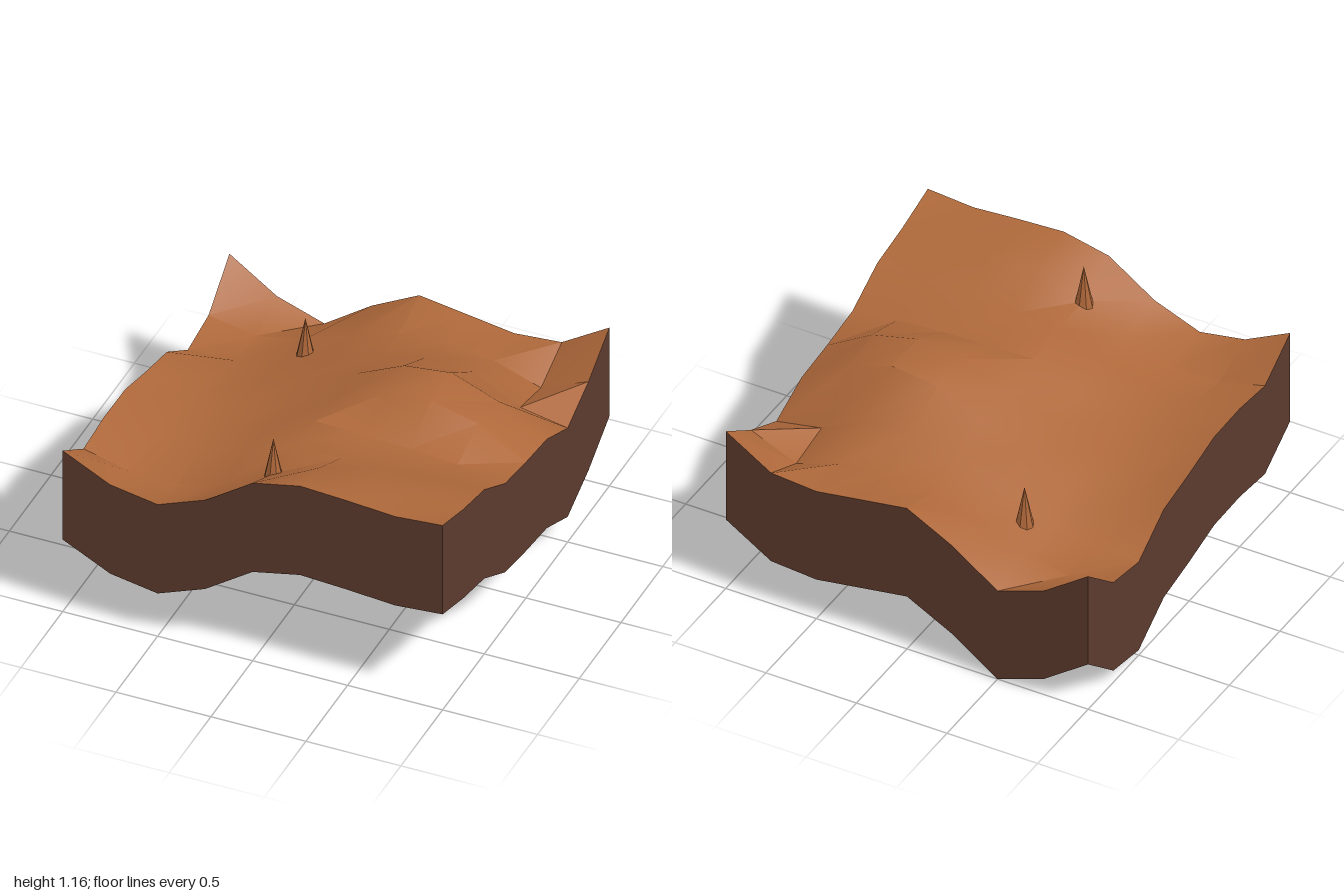
import * as THREE from 'three';
import { toCreasedNormals } from 'three/addons/utils/BufferGeometryUtils.js';

// Height field: rows run from back (z = -1) to front (z = 1), columns from x = -1 to x = 1
const HEIGHTS = [
  [0.80, 0.62, 0.53, 0.71, 0.845, 0.805, 0.765, 0.785, 0.945],
  [0.60, 0.55, 0.60, 0.70, 0.78, 0.79, 0.77, 0.68, 0.79],
  [0.56, 0.57, 0.63, 0.73, 0.82, 0.88, 0.87, 0.73, 0.68],
  [0.715, 0.64, 0.70, 0.79, 0.88, 1.0, 1.03, 0.93, 0.78],
  [0.765, 0.69, 0.71, 0.79, 0.90, 1.0, 1.03, 0.965, 0.81],
  [0.825, 0.76, 0.75, 0.82, 0.93, 0.92, 0.91, 0.89, 0.85],
  [0.83, 0.78, 0.78, 0.85, 0.95, 0.95, 0.96, 0.97, 0.98],
  [0.805, 0.74, 0.74, 0.82, 0.95, 1.06, 1.06, 1.05, 1.03],
  [0.96, 0.83, 0.785, 0.885, 1.06, 1.115, 1.10, 1.08, 1.10],
];
const N = 8;
const WALL_HEIGHT = 0.53;

export function createModel() {
  const group = new THREE.Group();
  const soil = new THREE.MeshStandardMaterial({ color: 0xae683a, side: THREE.DoubleSide });
  soil.name = 'orange soil';
  const earth = new THREE.MeshStandardMaterial({ color: 0x5c3b2e, side: THREE.DoubleSide });
  earth.name = 'dark earth';

  function add(name, geometry, material) {
    const mesh = new THREE.Mesh(geometry, material);
    mesh.name = name;
    group.add(mesh);
    return mesh;
  }

  // Ground surface
  const ground = new THREE.PlaneGeometry(2, 2, N, N).rotateX(-Math.PI / 2);
  const pos = ground.attributes.position;
  for (let i = 0; i < pos.count; i++) {
    pos.setY(i, HEIGHTS[Math.floor(i / (N + 1))][i % (N + 1)]);
  }
  add('ground', toCreasedNormals(ground, 0.55), soil);

  // Skirt walls follow the ground's rim; the underside stays open
  function wall(name, pointAt) {
    const geometry = new THREE.PlaneGeometry(2, 1, N, 1);
    const p = geometry.attributes.position;
    for (let i = 0; i < p.count; i++) {
      const [col, row] = pointAt(i % (N + 1));
      const drop = i > N ? WALL_HEIGHT : 0;
      p.setXYZ(i, col / 4 - 1, HEIGHTS[row][col] - drop, row / 4 - 1);
    }
    geometry.computeVertexNormals();
    add(name, geometry, earth);
  }
  wall('frontWall', (k) => [k, N]);
  wall('backWall', (k) => [N - k, 0]);
  wall('leftWall', (k) => [N, N - k]);
  wall('rightWall', (k) => [0, k]);

  // Pointed rock spikes
  const spike = new THREE.ConeGeometry(0.05, 0.24, 8);
  for (const [x, top, z] of [[0, 1.16, 0.75], [-0.42, 0.86, -0.59]]) {
    add('spike', toCreasedNormals(spike, 0.5), soil).position.set(x, top - 0.12, z);
  }
  return group;
}
